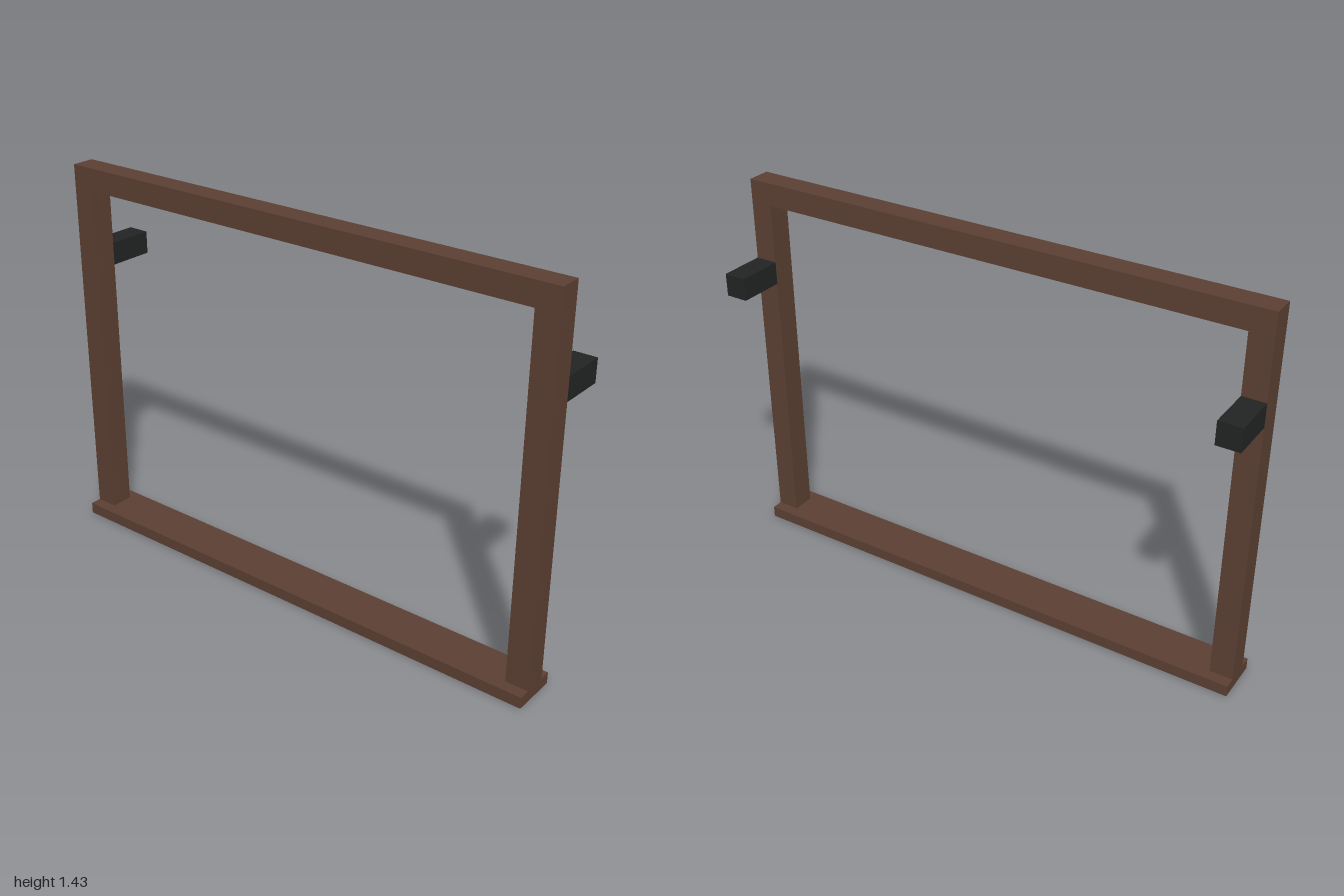
import * as THREE from 'three';

export function createModel() {
  const model = new THREE.Group();
  const wood = new THREE.MeshStandardMaterial({ color: 0x5c4033 });
  wood.name = 'brown wood';
  const dark = new THREE.MeshStandardMaterial({ color: 0x222423 });
  dark.name = 'black metal';

  // Box given by its extents along each axis
  function box(name, material, [x0, x1], [y0, y1], [z0, z1]) {
    const mesh = new THREE.Mesh(new THREE.BoxGeometry(x1 - x0, y1 - y0, z1 - z0), material);
    mesh.position.set((x0 + x1) / 2, (y0 + y1) / 2, (z0 + z1) / 2);
    mesh.name = name;
    model.add(mesh);
  }

  const beamX = [-0.109, -0.022];
  const baseTop = 0.043, railBottom = 1.35, top = 1.435, inner = 0.915;

  // Floor plate and top rail run the full length
  box('basePlate', wood, [-0.152, 0.02], [0, baseTop], [-1, 1]);
  box('topRail', wood, beamX, [railBottom, top], [-1, 1]);

  // Post and projecting arm at each end
  for (const [end, z] of [['front', [inner, 1]], ['back', [-1, -inner]]]) {
    box(end + 'Post', wood, beamX, [baseTop, railBottom], z);
    box(end + 'Arm', dark, [beamX[1], 0.152], [1.046, 1.131], z);
  }
  return model;
}
